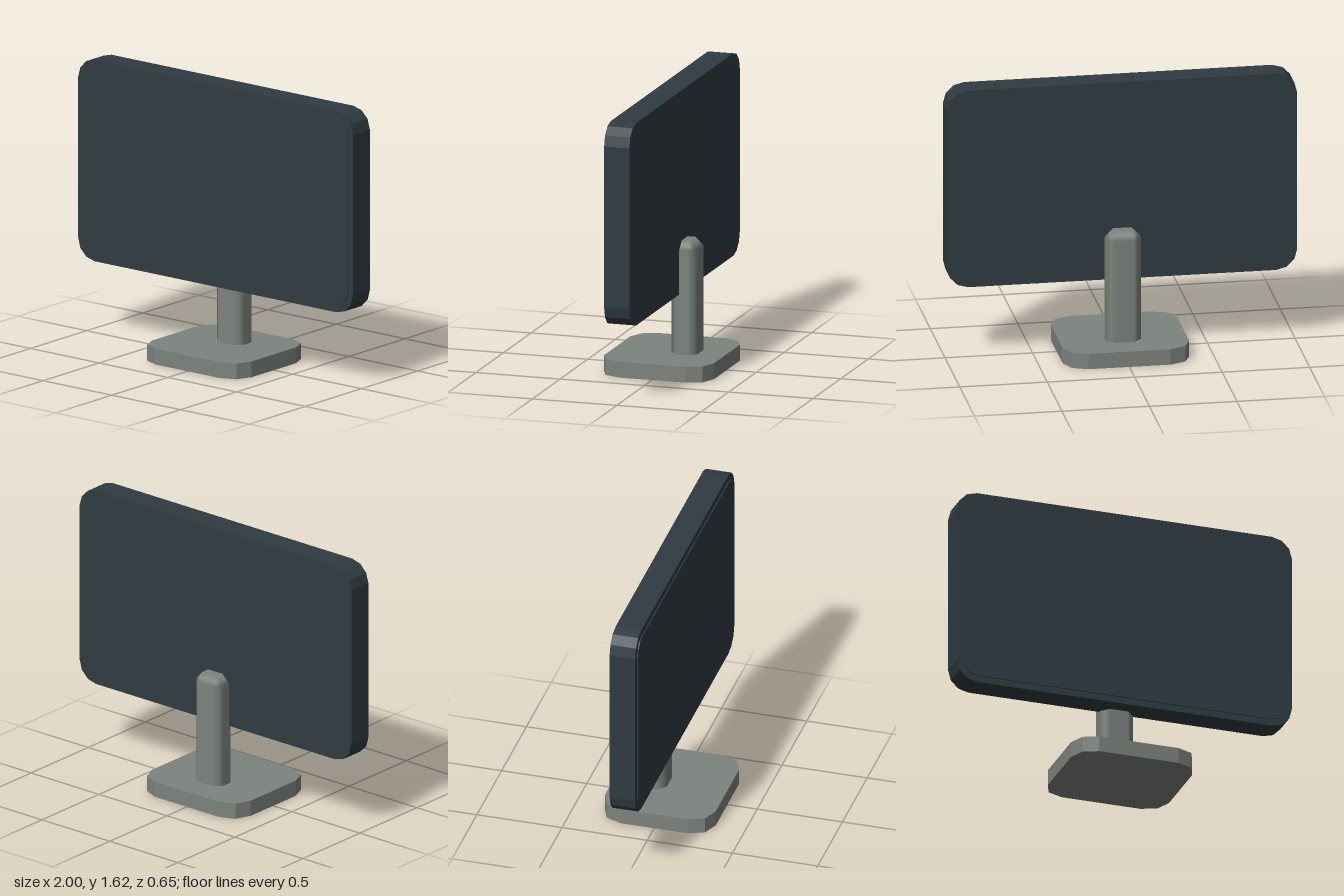
import * as THREE from 'three';

const darkPlastic = new THREE.MeshStandardMaterial({ name: 'dark slate', color: 0x2f3b41 });
const standGrey = new THREE.MeshStandardMaterial({ name: 'stand grey', color: 0x7d837e });

// Rounded rectangle slab centred on the origin, extruded along +z from 0
function slab(width, height, radius, depth, segments) {
  const points = [];
  const corners = [[1, 1], [-1, 1], [-1, -1], [1, -1]];
  corners.forEach(([sx, sy], c) => {
    for (let i = 0; i <= segments; i++) {
      const a = (c + i / segments) * Math.PI / 2;
      points.push(new THREE.Vector2(
        sx * (width / 2 - radius) + Math.cos(a) * radius,
        sy * (height / 2 - radius) + Math.sin(a) * radius));
    }
  });
  return new THREE.ExtrudeGeometry(new THREE.Shape(points), { depth, bevelEnabled: false });
}

// Box with a single flat chamfer on every edge, softly shaded across the chamfers
function chamferBox(width, height, depth, r) {
  const geometry = new THREE.BoxGeometry(1, 1, 1, 3, 3, 3);
  const pos = geometry.attributes.position;
  const inner = new THREE.Vector3(width / 2 - r, height / 2 - r, depth / 2 - r);
  const p = new THREE.Vector3(), n = new THREE.Vector3();
  const outward = (v) => (Math.abs(v) > 0.4 ? Math.sign(v) : 0);
  for (let i = 0; i < pos.count; i++) {
    p.fromBufferAttribute(pos, i);
    n.set(outward(p.x), outward(p.y), outward(p.z));
    p.set(Math.sign(p.x), Math.sign(p.y), Math.sign(p.z)).multiply(inner);
    p.addScaledVector(n, r / n.manhattanLength());
    n.normalize();
    pos.setXYZ(i, p.x, p.y, p.z);
    geometry.attributes.normal.setXYZ(i, n.x, n.y, n.z);
  }
  return geometry;
}

export function createModel() {
  const model = new THREE.Group();
  model.name = 'monitor';
  const add = (name, geometry, material, x, y, z) => {
    const mesh = new THREE.Mesh(geometry, material);
    mesh.name = name;
    mesh.position.set(x, y, z);
    model.add(mesh);
    return mesh;
  };

  // Display housing and the thin panel on its front
  add('housing', slab(2, 1.174, 0.12, 0.15, 3), darkPlastic, 0, 1.028, -0.075);
  add('screenPanel', slab(1.93, 1.098, 0.09, 0.009, 3), darkPlastic, 0, 1.028, 0.073);

  // Stand: upright neck behind the housing, on a rounded foot
  add('neck', chamferBox(0.2, 0.725, 0.155, 0.047), standGrey, 0, 0.3825, -0.0925);
  const foot = slab(0.724, 0.65, 0.127, 0.092, 2).rotateX(-Math.PI / 2);
  add('foot', foot, standGrey, 0, 0, 0);

  return model;
}
